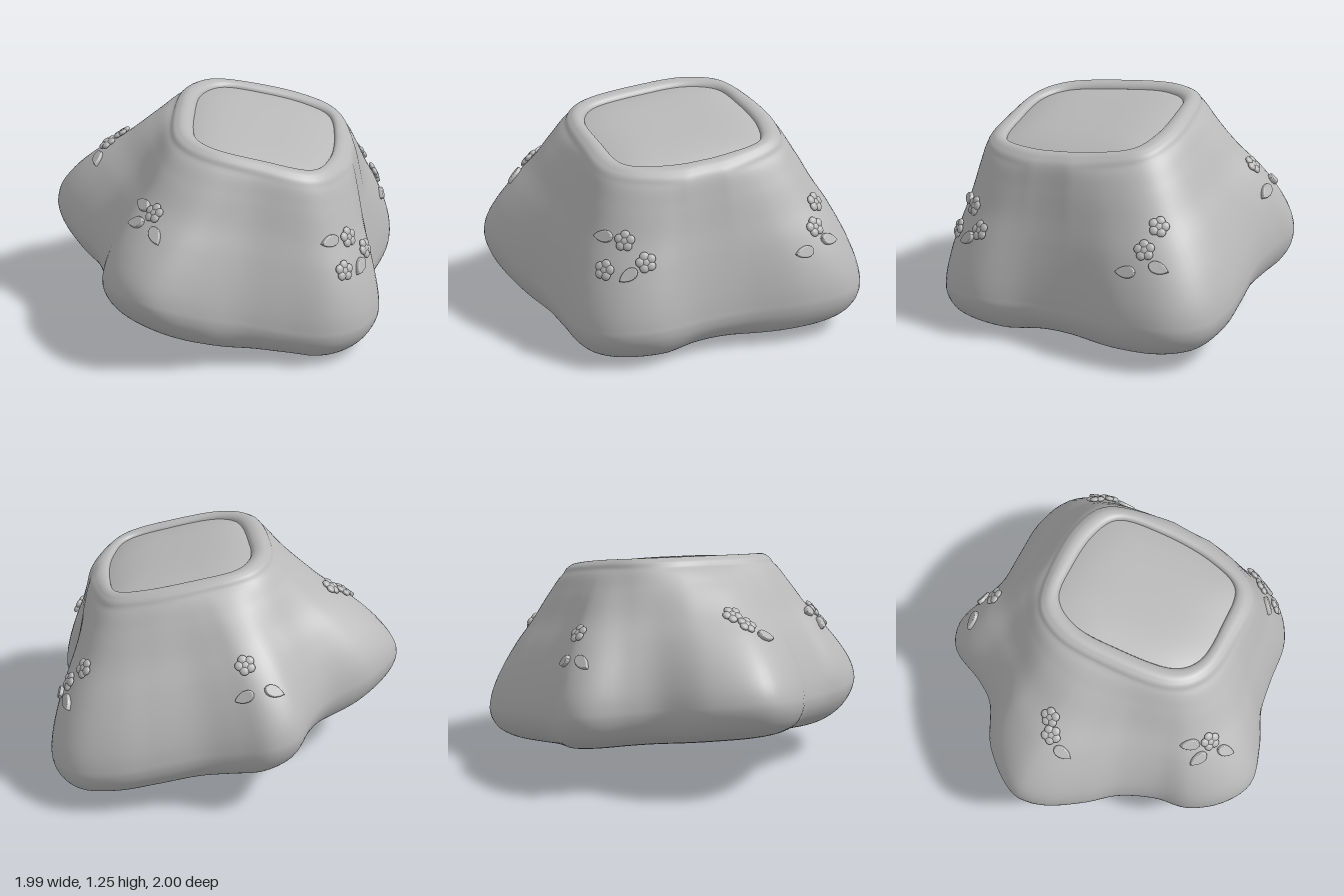
import * as THREE from 'three';

const N = 160; // segments around the body

// Closed outline from a few (x, z) points, returned as a function angle -> point
function outline(points, cx, cz) {
  const curve = new THREE.CatmullRomCurve3(points.map(([x, z]) => new THREE.Vector3(x, 0, z)), true);
  const polar = curve.getPoints(500).map(p => [Math.atan2(p.z - cz, p.x - cx), Math.hypot(p.x - cx, p.z - cz)]);
  polar.sort((a, b) => a[0] - b[0]);
  return angle => {
    const a = Math.atan2(Math.sin(angle), Math.cos(angle));
    let i = polar.findIndex(p => p[0] > a);
    if (i < 1) i = i < 0 ? polar.length - 1 : 1;
    const [a0, r0] = polar[i - 1], [a1, r1] = polar[i];
    const t = THREE.MathUtils.clamp((a - a0) / (a1 - a0 || 1), 0, 1);
    const r = r0 + (r1 - r0) * t;
    return [cx + r * Math.cos(a), cz + r * Math.sin(a)];
  };
}

const lobes = outline([
  [-1, -0.07], [-0.85, -0.34], [-0.61, -0.53], [-0.53, -0.67], [-0.45, -0.89], [-0.32, -0.97],
  [-0.16, -0.95], [0.04, -0.93], [0.3, -0.97], [0.52, -1], [0.75, -0.96], [0.88, -0.83], [0.93, -0.59],
  [0.89, -0.21], [0.91, 0.05], [0.99, 0.32], [0.94, 0.53], [0.79, 0.67], [0.51, 0.74], [0.3, 0.8],
  [0.08, 0.92], [-0.16, 1], [-0.34, 0.93], [-0.48, 0.77], [-0.53, 0.59], [-0.65, 0.4], [-0.8, 0.27],
  [-0.96, 0.08]], 0, 0);
const opening = outline([
  [-0.15, -0.21], [-0.07, -0.37], [0.14, -0.43], [0.4, -0.45], [0.55, -0.4], [0.63, -0.16], [0.65, 0.16],
  [0.59, 0.36], [0.35, 0.43], [0.08, 0.45], [-0.04, 0.37], [-0.13, 0.05]], 0.26, 0);

// Height between the tilted base (h = 0), lifted at the front and left tips, and the bowed top (h = 1)
function height(x, z, h) {
  const lift = 0.6 * Math.max(0, z - 0.5) ** 2 + 0.6 * Math.max(0, x - 0.65) ** 2;
  const base = Math.max(0, 0.14 - 0.22 * x + (x < 0 ? 0.03 : 0.08) * x * x - 0.05 * z) + lift;
  const top = 1.217 - 0.175 * x - 0.07 * Math.max(0, x) ** 2 - 0.05 * z;
  return Math.max(0, base + (top - base) * h);
}

// Smooth surface from closed rings
function ringSurface(rings, pointAt) {
  const pos = [], index = [];
  rings.forEach((ring, j) => {
    for (let i = 0; i < N; i++) {
      pos.push(...pointAt((i / N) * Math.PI * 2, ring));
      if (j === 0) continue;
      const n = (i + 1) % N, a = (j - 1) * N, b = j * N;
      index.push(a + i, a + n, b + i, a + n, b + n, b + i);
    }
  });
  const geo = new THREE.BufferGeometry();
  geo.setAttribute('position', new THREE.Float32BufferAttribute(pos, 3));
  geo.setIndex(index);
  geo.computeVertexNormals();
  return geo;
}

// Body profile as [w, h, inset]: w from -1 to 0 crosses the rim, 0 to 1 goes down the flank,
// and inset is the distance tucked back under the base
function bodyGeometry() {
  const profile = new THREE.CatmullRomCurve3([
    [-1, 0.955, 0], [-0.92, 0.977, 0], [-0.65, 0.993, 0], [-0.3, 0.983, 0], [0, 0.942, 0], [0.2, 0.835, 0],
    [0.42, 0.69, 0], [0.65, 0.55, 0], [0.84, 0.405, 0], [0.95, 0.29, 0], [0.99, 0.22, 0], [1, 0.17, 0],
    [1, 0.115, 0.014], [1, 0.06, 0.055], [1, 0.022, 0.13], [1, 0.003, 0.25], [1, 0, 0.45],
  ].map(p => new THREE.Vector3(...p)));
  const rings = profile.getPoints(130).map(p => p.toArray());
  rings.push(null); // closes the underside
  return ringSurface(rings, (angle, ring) => {
    if (!ring) return [0.2, height(0.2, 0, 0), 0];
    const [w, h, inset] = ring;
    const [ox, oz] = opening(angle), [lx, lz] = lobes(angle);
    const gap = Math.hypot(lx - ox, lz - oz);
    const rim = Math.min(0.13, 0.47 * gap) / gap;
    const k = (w < 0 ? (w + 1) * rim : rim + (1 - rim) * w) - inset / gap;
    const x = ox + (lx - ox) * k, z = oz + (lz - oz) * k;
    return [x, height(x, z, h), z];
  });
}

// Gently domed filling, almost flush with the rim
function fillingGeometry() {
  const rings = Array.from({ length: 17 }, (_, j) => j / 16);
  return ringSurface(rings, (angle, s) => {
    const [ox, oz] = opening(angle);
    const x = 0.26 + (ox - 0.26) * s * 1.01, z = oz * s * 1.01;
    return [x, height(x, z, 0.998 - 0.032 * s ** 4), z];
  });
}

// Pointed leaf lying in the xy plane, tip towards +y
function leafGeometry() {
  const s = new THREE.Shape();
  s.moveTo(0, -0.042);
  s.bezierCurveTo(0.036, -0.035, 0.034, 0.02, 0, 0.056);
  s.bezierCurveTo(-0.034, 0.02, -0.036, -0.035, 0, -0.042);
  return new THREE.ExtrudeGeometry(s, {
    depth: 0.01, bevelEnabled: true, bevelThickness: 0.009, bevelSize: 0.006, bevelSegments: 3, curveSegments: 10,
  });
}

export function createModel() {
  const group = new THREE.Group();
  const clay = new THREE.MeshStandardMaterial({ color: 0xb8b8b8 });
  clay.name = 'grey clay';

  const body = new THREE.Mesh(bodyGeometry(), clay);
  body.name = 'lobedBody';
  const filling = new THREE.Mesh(fillingGeometry(), clay);
  filling.name = 'topFilling';
  group.add(body, filling);

  const leafGeo = leafGeometry();
  const petalGeo = new THREE.SphereGeometry(0.026, 16, 10).scale(1, 1, 0.55);

  // Five petals around a matching centre
  function flower() {
    const f = new THREE.Group();
    f.name = 'flower';
    for (let i = 0; i < 6; i++) {
      const a = (i / 5) * Math.PI * 2, r = i < 5 ? 0.031 : 0;
      const petal = new THREE.Mesh(petalGeo, clay);
      petal.name = i < 5 ? 'petal' : 'flowerCentre';
      petal.position.set(-Math.sin(a) * r, Math.cos(a) * r, 0.014);
      f.add(petal);
    }
    return f;
  }
  function leaf() {
    const l = new THREE.Mesh(leafGeo, clay);
    l.name = 'leaf';
    return l;
  }

  // Sets an ornament on the body, hit by a ray, with its +y turned along the given direction
  const ray = new THREE.Raycaster();
  function place(part, origin, aim, tip) {
    ray.set(origin, aim);
    const hit = ray.intersectObject(body)[0];
    if (!hit) return;
    const n = hit.face.normal.clone();
    const up = tip.clone().addScaledVector(n, -tip.dot(n)).normalize();
    const side = new THREE.Vector3().crossVectors(up, n);
    part.quaternion.setFromRotationMatrix(new THREE.Matrix4().makeBasis(side, up, n));
    part.position.copy(hit.point);
    group.add(part);
  }

  // Sprigs placed from above: kind, x, z, tip direction x, z
  [
    ['f', -0.6, -0.07, 0, -1], ['f', -0.67, -0.02, -1, 0.3], ['l', -0.71, 0.07, -0.2, 1],
    ['f', -0.19, 0.71, 0, 1], ['l', -0.27, 0.64, -0.6, -0.8], ['l', -0.29, 0.71, -1, -0.1], ['l', -0.17, 0.8, 0.2, 1],
    ['f', 0.71, -0.67, 1, 0], ['f', 0.8, -0.64, 0, 1], ['l', 0.81, -0.72, 0.2, -1], ['l', 0.865, -0.57, 0.4, 1],
    ['f', -0.16, -0.77, 0, -1], ['l', -0.31, -0.83, -1, -0.3], ['l', -0.17, -0.86, 0.8, -0.7],
  ].forEach(([kind, x, z, dx, dz]) => place(kind === 'f' ? flower() : leaf(),
    new THREE.Vector3(x, 3, z), new THREE.Vector3(0, -1, 0), new THREE.Vector3(dx, 0, dz)));

  // Sprig on the steep left lobe: kind, y, z, tip direction y, z
  [
    ['f', 0.7, 0.43, 1, 0], ['l', 0.71, 0.52, 0.2, 1], ['f', 0.6, 0.34, 1, 0.3],
    ['l', 0.54, 0.43, -0.5, 0.9], ['f', 0.55, 0.54, 1, -0.2],
  ].forEach(([kind, y, z, dy, dz]) => place(kind === 'f' ? flower() : leaf(),
    new THREE.Vector3(3, y, z), new THREE.Vector3(-1, 0, 0), new THREE.Vector3(0, dy, dz)));

  return group;
}
